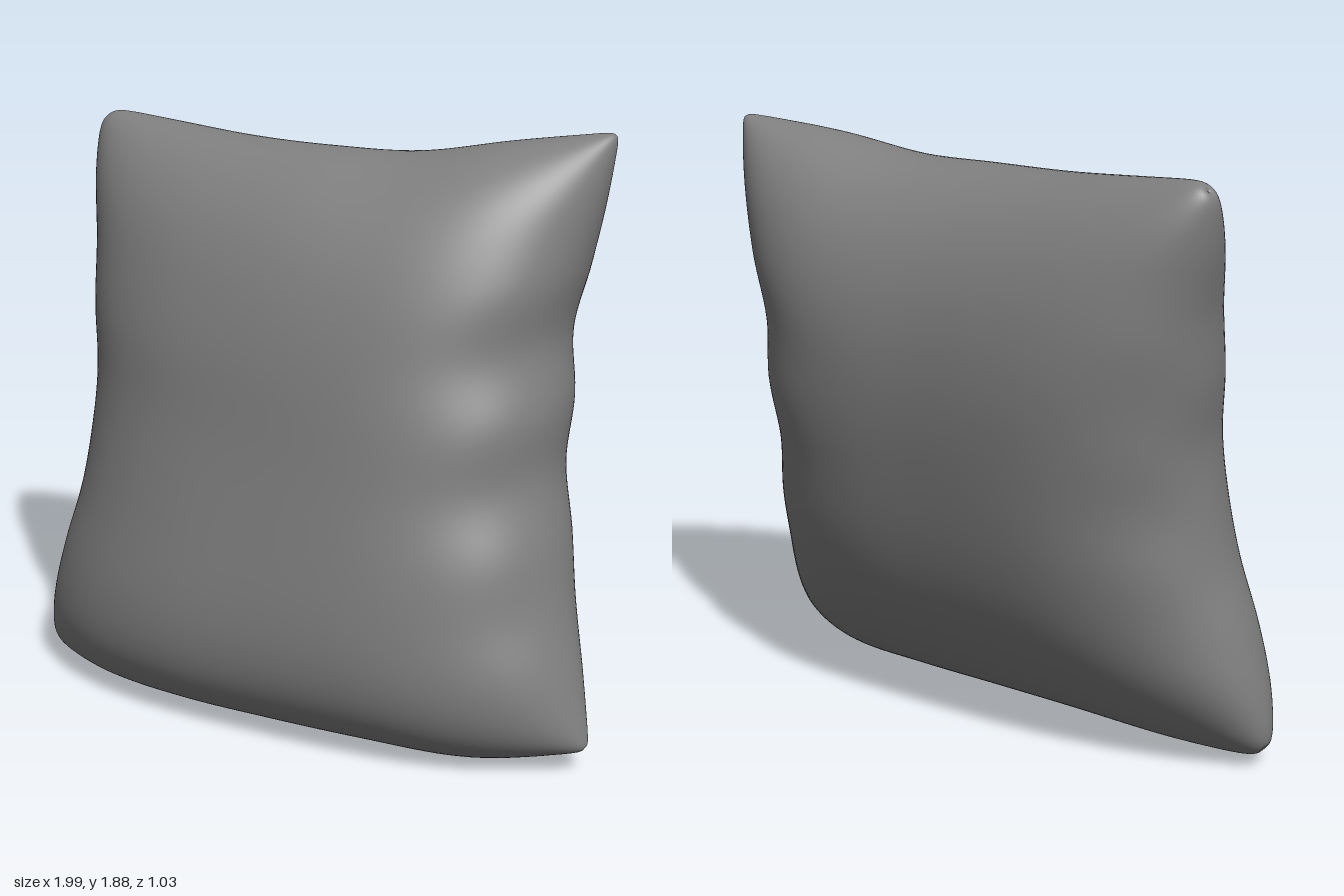
import * as THREE from 'three';
import { mergeVertices } from 'three/addons/utils/BufferGeometryUtils.js';

const SEG = 84;
const curve = (pts) => new THREE.CatmullRomCurve3(pts.map((p) => new THREE.Vector3(...p)));

// The four seams, running from the model's right to left and bottom to top
const bottomSeam = curve([
  [-1.005, 0.03, 0.08], [-0.67, 0.003, 0.15], [-0.33, 0, 0.19], [0, 0, 0.2],
  [0.33, 0, 0.2], [0.67, 0.003, 0.2], [1.005, 0.07, 0.21],
]);
const topSeam = curve([
  [-0.965, 1.835, -0.26], [-0.65, 1.81, -0.2], [-0.34, 1.79, -0.14], [-0.035, 1.785, -0.1],
  [0.27, 1.79, -0.1], [0.58, 1.84, -0.13], [0.89, 1.88, -0.19],
]);
const sideSeam = (xs, y0, y1, z0, z1) => curve(xs.map((x, i) => {
  const t = i / (xs.length - 1);
  return [x, y0 + (y1 - y0) * t, z0 + (z1 - z0) * t];
}));
const rightSeam = sideSeam(
  [-1.005, -0.98, -0.935, -0.88, -0.855, -0.85, -0.88, -0.9, -0.94, -0.965], 0.03, 1.835, 0.08, -0.26);
const leftSeam = sideSeam(
  [1.005, 0.95, 0.895, 0.855, 0.81, 0.815, 0.79, 0.83, 0.865, 0.89], 0.07, 1.88, 0.21, -0.19);

// Middle sheet of the cushion, blended from the four seams
function sheetPoint(s, t) {
  const p = bottomSeam.getPoint(s).multiplyScalar(1 - t);
  p.addScaledVector(topSeam.getPoint(s), t);
  p.addScaledVector(rightSeam.getPoint(t), 1 - s);
  p.addScaledVector(leftSeam.getPoint(t), s);
  p.addScaledVector(bottomSeam.getPoint(0), -(1 - s) * (1 - t));
  p.addScaledVector(bottomSeam.getPoint(1), -s * (1 - t));
  p.addScaledVector(topSeam.getPoint(0), -(1 - s) * t);
  p.addScaledVector(topSeam.getPoint(1), -s * t);
  return p;
}

// Stuffing: rounded at the edges, pointed at the corners, heaviest low on the front
function halfThickness(u, v, side) {
  const front = side > 0;
  const power = front ? (v < 0 ? 3.8 : 2.8) : (v < 0 ? 3 : 2.6);
  const fill = Math.sqrt(Math.max(0, (1 - Math.abs(u) ** 3.1) * (1 - Math.abs(v) ** power)));
  const depth = front ? 0.46 + 0.045 * u : 0.438 + 0.03 * u;
  const foldSize = 0.035 + 0.03 * side * u;
  const folds = 1 + foldSize * Math.sin(15 * v) * u ** 6 * (1 - v * v);
  return depth * fill * folds;
}

// Factor that pulls the corners in: blunt on the right side, tight on the left
function cornerPull(u, v) {
  const k = 0.027 - 0.013 * u;
  return 1 - k * Math.abs(u * v) ** (0.95 / k);
}

function cushionGeometry() {
  const positions = [], index = [];
  const row = SEG + 1;
  for (const side of [1, -1]) {
    const base = positions.length / 3;
    for (let j = 0; j <= SEG; j++) {
      for (let i = 0; i <= SEG; i++) {
        // Points crowd towards the seams, where the cloth curves most
        const u = Math.sin((i / SEG - 0.5) * Math.PI);
        const v = Math.sin((j / SEG - 0.5) * Math.PI);
        const pull = cornerPull(u, v);
        const p = sheetPoint((u * pull + 1) / 2, (v * pull + 1) / 2);
        const sag = -0.08 * (1 - u * u) * (1 - v * v);
        positions.push(p.x, p.y, p.z + sag + side * halfThickness(u, v, side));
        if (i === SEG || j === SEG) continue;
        const a = base + j * row + i, b = a + 1, c = a + row, d = c + 1;
        if (side > 0) index.push(a, b, d, a, d, c);
        else index.push(a, d, b, a, c, d);
      }
    }
  }
  const geometry = new THREE.BufferGeometry();
  geometry.setAttribute('position', new THREE.Float32BufferAttribute(positions, 3));
  geometry.setIndex(index);
  // Weld front and back along the seam for smooth shading
  const welded = mergeVertices(geometry, 1e-5);
  welded.computeVertexNormals();
  return welded;
}

export function createModel() {
  const group = new THREE.Group();
  group.name = 'pillow';
  const cloth = new THREE.MeshStandardMaterial({ color: 0x808080 });
  cloth.name = 'grey cloth';
  const cushion = new THREE.Mesh(cushionGeometry(), cloth);
  cushion.name = 'cushion';
  group.add(cushion);
  return group;
}
